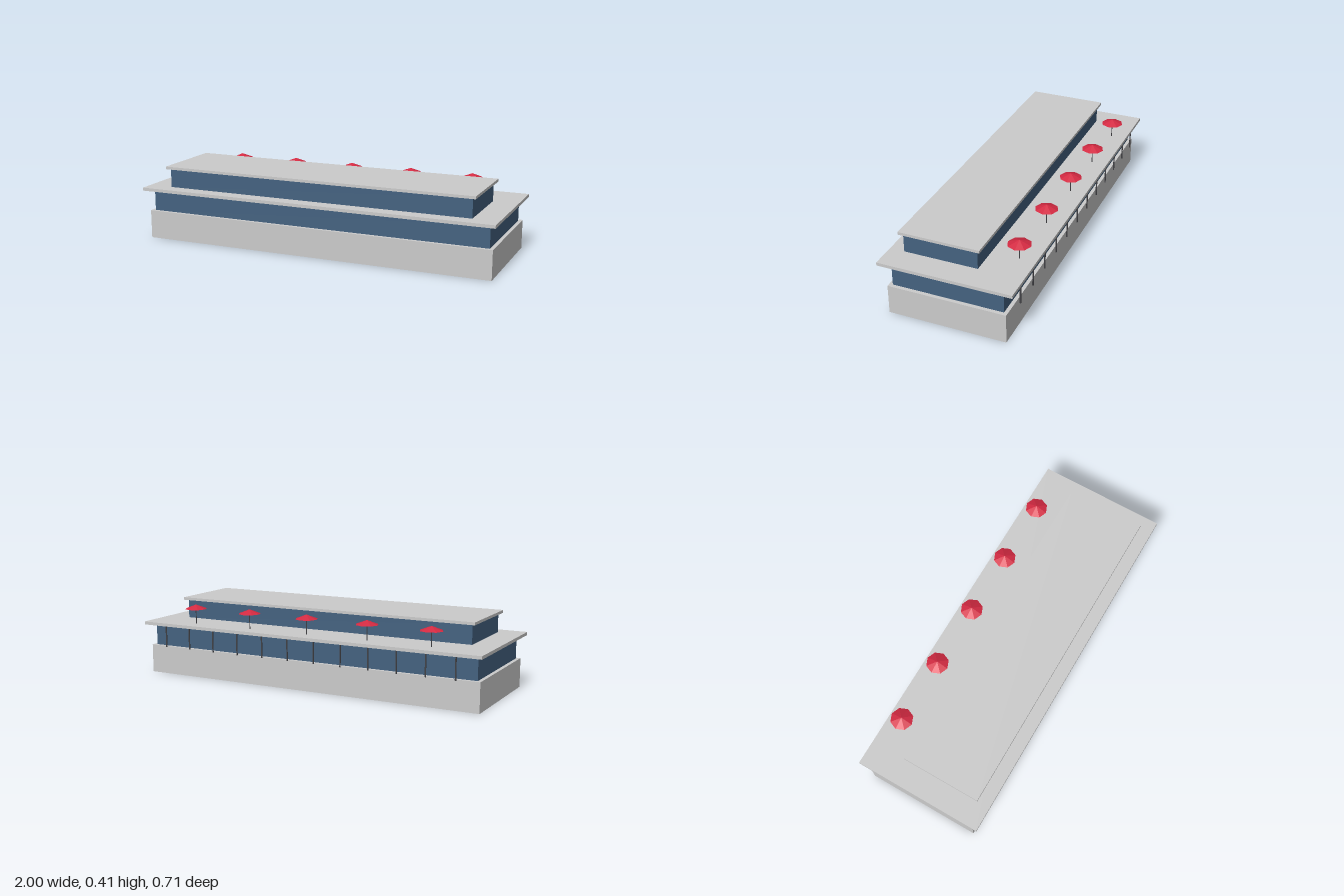
import * as THREE from 'three';

const mat = (color) => new THREE.MeshStandardMaterial({ color, flatShading: true });

export function createModel() {
  const building = new THREE.Group();
  building.name = 'terraceBuilding';
  const concrete = mat(0xcccccc);
  const glass = mat(0x446280);
  const red = mat(0xd42a42);
  const metal = new THREE.MeshStandardMaterial({ color: 0x444448 });

  const add = (parent, name, geometry, material, x, y, z) => {
    const mesh = new THREE.Mesh(geometry, material);
    mesh.name = name;
    mesh.position.set(x, y, z);
    parent.add(mesh);
  };

  // Stacked storeys and slabs: name, material, width, bottom, top, back, front
  const levels = [
    ['base', concrete, 1.962, 0, 0.157, -0.313, 0.313],
    ['lowerGlazing', glass, 1.922, 0.157, 0.277, -0.294, 0.294],
    ['terraceSlab', concrete, 2, 0.277, 0.294, -0.353, 0.353],
    ['upperGlazing', glass, 1.726, 0.294, 0.397, -0.118, 0.275],
    ['roofSlab', concrete, 1.765, 0.397, 0.412, -0.137, 0.294],
  ];
  for (const [name, material, width, y0, y1, z0, z1] of levels) {
    add(building, name, new THREE.BoxGeometry(width, y1 - y0, z1 - z0), material,
      0, (y0 + y1) / 2, (z0 + z1) / 2);
  }

  // Row of slim posts under the rear overhang
  const postGeometry = new THREE.CylinderGeometry(0.004, 0.004, 0.12, 8);
  for (let i = 0; i < 12; i++) {
    add(building, 'rearPost', postGeometry, metal, -0.863 + (i * 1.726) / 11, 0.217, -0.336);
  }

  // Parasols along the terrace
  const poleGeometry = new THREE.CylinderGeometry(0.0025, 0.0025, 0.098, 6);
  const canopyGeometry = new THREE.ConeGeometry(0.061, 0.024, 8);
  for (let i = -2; i <= 2; i++) {
    const parasol = new THREE.Group();
    parasol.name = 'parasol';
    parasol.position.set(i * 0.353, 0.294, -0.266);
    add(parasol, 'pole', poleGeometry, metal, 0, 0.049, 0);
    add(parasol, 'canopy', canopyGeometry, red, 0, 0.095, 0);
    building.add(parasol);
  }
  return building;
}
